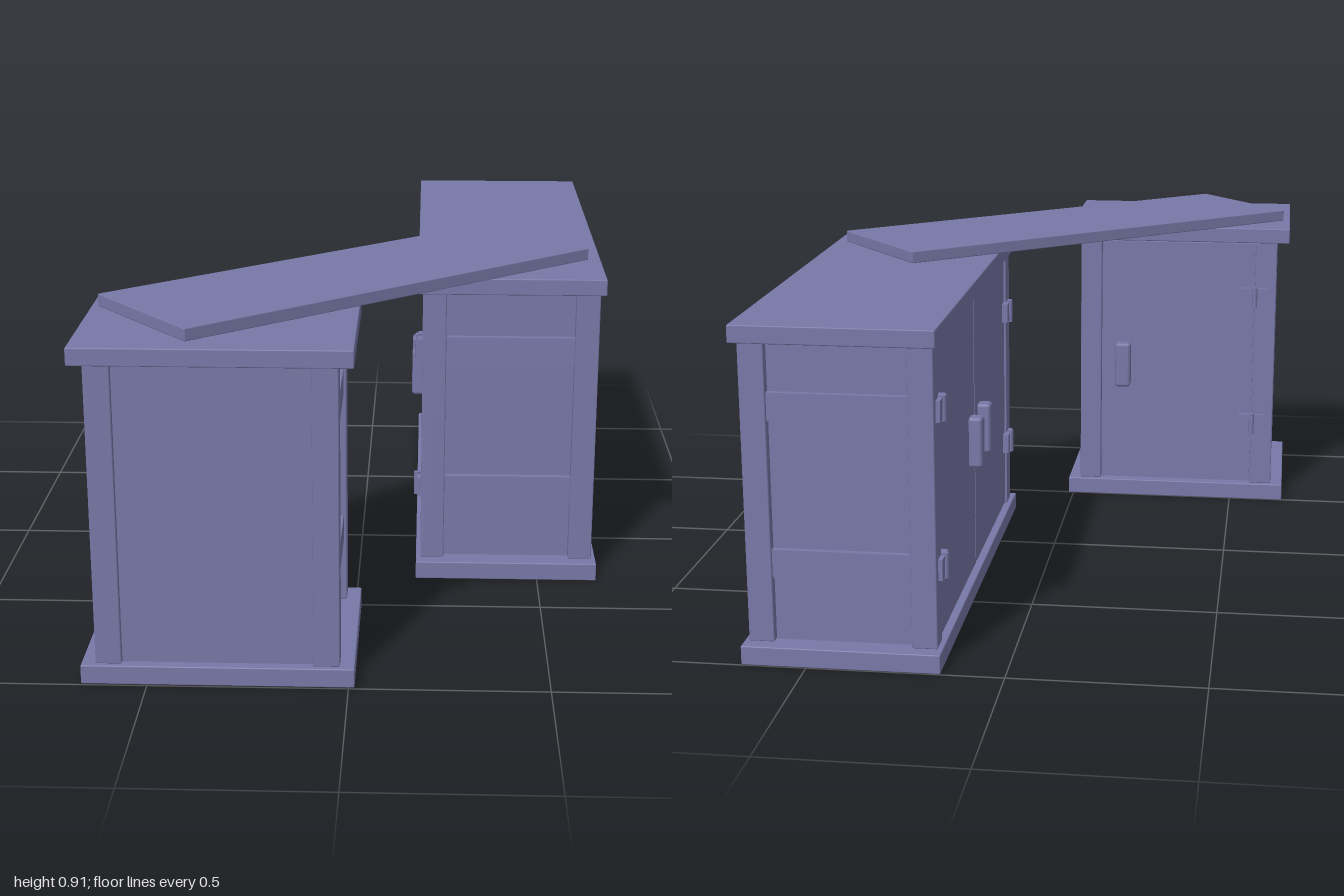
import * as THREE from 'three';
import { RoundedBoxGeometry } from 'three/addons/geometries/RoundedBoxGeometry.js';

const material = new THREE.MeshStandardMaterial({ color: 0x7878a8 });
const BASE = 0.05, TOP = 0.825, POST = 0.065;

// Box with an optional tiny softened edge
function box(parent, name, [w, h, d], [x, y, z], bevel = 0) {
  const geometry = bevel
    ? new RoundedBoxGeometry(w, h, d, 1, bevel)
    : new THREE.BoxGeometry(w, h, d);
  const mesh = new THREE.Mesh(geometry, material);
  mesh.name = name;
  mesh.position.set(x, y, z);
  parent.add(mesh);
  return mesh;
}

// Hinge: two leaves either side of a knuckle
function addHinge(parent, x, y, z) {
  const hinge = new THREE.Group();
  hinge.name = 'hinge';
  hinge.position.set(x, y, z);
  for (const s of [-1, 1]) box(hinge, 'hingeLeaf', [0.036, 0.055, 0.018], [s * 0.023, 0, 0.002]);
  const pin = new THREE.Mesh(new THREE.CylinderGeometry(0.008, 0.008, 0.066, 12), material);
  pin.name = 'hingePin';
  pin.position.z = -0.008;
  hinge.add(pin);
  parent.add(hinge);
}

// Cabinet with its doors facing -z; doors: [{ x0, x1, hinge: x, handle: x }]
function createCabinet(name, width, depth, slabW, slabD, doors) {
  const g = new THREE.Group();
  g.name = name;
  const h = TOP - BASE, midY = (TOP + BASE) / 2;
  const hw = width / 2, hd = depth / 2;

  // Plinth and top slab
  box(g, 'plinth', [slabW, BASE, slabD], [0, BASE / 2, 0], 0.003);
  box(g, 'topSlab', [slabW, 0.045, slabD], [0, TOP + 0.0225, 0], 0.003);

  for (const sx of [-1, 1]) {
    // Corner posts
    for (const sz of [-1, 1])
      box(g, 'post', [POST, h, POST], [sx * (hw - POST / 2), midY, sz * (hd - POST / 2)], 0.003);
    // Recessed end panels with two raised rails
    box(g, 'endPanel', [0.02, h, depth - 2 * POST], [sx * (hw - 0.034), midY, 0]);
    for (const y of [0.255, 0.6575])
      box(g, 'endRail', [0.03, 0.073, depth - 2 * POST], [sx * (hw - 0.023), y, 0]);
  }

  // Back panel, and the frame behind the doors
  box(g, 'backPanel', [width - 2 * POST, h, 0.02], [0, midY, hd - 0.025]);
  box(g, 'doorFrame', [width - 2 * POST, h, 0.02], [0, midY, -hd + 0.032]);

  // Doors, handles and hinges
  for (const d of doors) {
    box(g, 'door', [d.x1 - d.x0 - 0.008, h - 0.012, 0.02], [(d.x0 + d.x1) / 2, midY, -hd + 0.016]);
    box(g, 'handle', [0.048, 0.14, 0.04], [d.handle, 0.43, -hd - 0.011], 0.009);
    for (const y of [0.25, 0.655]) addHinge(g, d.hinge, y, -hd - 0.004);
  }
  return g;
}

export function createModel() {
  const model = new THREE.Group();
  model.name = 'cornerDesk';

  // Small cabinet with a single door
  const a = 0.607 / 2 - POST;
  const small = createCabinet('smallCabinet', 0.607, 0.475, 0.68, 0.5, [
    { x0: -a, x1: a, hinge: -a, handle: a - 0.07 },
  ]);
  small.position.set(-0.325, 0, 0.746);
  model.add(small);

  // Long cabinet with a pair of doors, turned to face -x
  const b = 1.24 / 2 - POST;
  const large = createCabinet('longCabinet', 1.24, 0.48, 1.315, 0.505, [
    { x0: -b, x1: 0, hinge: -b, handle: -0.072 },
    { x0: 0, x1: b, hinge: b, handle: 0.072 },
  ]);
  large.rotation.y = Math.PI / 2;
  large.position.set(0.413, 0, -0.342);
  model.add(large);

  // Loose work surface bridging the two cabinets
  const bridge = box(model, 'bridgeTop', [1.32, 0.033, 0.405], [-0.008, 0.89, 0.372], 0.003);
  bridge.rotation.y = 0.691;

  return model;
}
